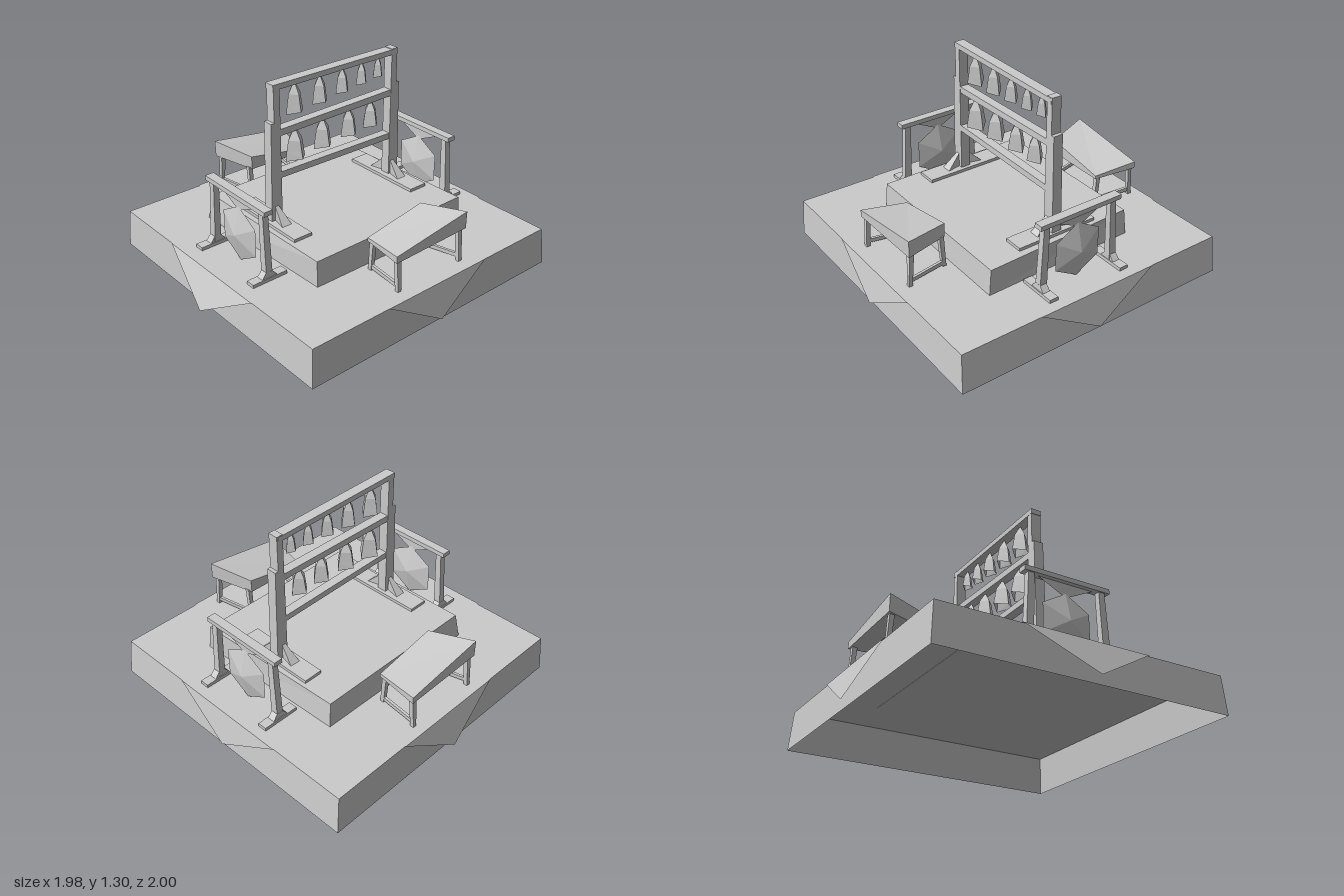
import * as THREE from 'three';
import { ConvexGeometry } from 'three/addons/geometries/ConvexGeometry.js';

const grey = new THREE.MeshStandardMaterial({ color: 0xcccccc, flatShading: true, side: THREE.DoubleSide });

function add(parent, name, geometry) {
  geometry.computeVertexNormals();
  const mesh = new THREE.Mesh(geometry, grey);
  mesh.name = name;
  parent.add(mesh);
  return mesh;
}

// Move each corner of a unit box by a rule that receives the signs of that corner.
function shapedBox(rule) {
  const g = new THREE.BoxGeometry(1, 1, 1);
  const p = g.attributes.position;
  for (let i = 0; i < p.count; i++) {
    p.setXYZ(i, ...rule([Math.sign(p.getX(i)), Math.sign(p.getY(i)), Math.sign(p.getZ(i))]));
  }
  return g;
}

// Bar from a to b along one axis; sizes are the full widths across it at each end.
function bar(a, b, axis, sizeA, sizeB = sizeA) {
  const across = [0, 1, 2].filter((k) => k !== axis);
  return shapedBox((s) => {
    const far = s[axis] > 0;
    const out = [...(far ? b : a)];
    across.forEach((k, i) => { out[k] += s[k] * (far ? sizeB : sizeA)[i] / 2; });
    return out;
  });
}

// Block from eight corners: x fastest, then y, then z.
const block = (corners) => shapedBox((s) => corners[(s[0] > 0) + 2 * (s[1] > 0) + 4 * (s[2] > 0)]);

// Flat polygon as a triangle fan.
function sheet(points) {
  const g = new THREE.BufferGeometry().setFromPoints(points.map((p) => new THREE.Vector3(...p)));
  const index = [];
  for (let i = 1; i < points.length - 1; i++) index.push(0, i, i + 1);
  g.setIndex(index);
  return g;
}

// Four-sided bell, open below, with arched lips on two corners.
function bell(parent, z, top, bottom, radius) {
  const h = top - bottom;
  const profile = [[1, 0], [0.88, 0.3], [0.7, 0.65], [0.1, 1]]
    .map(([r, y]) => new THREE.Vector2(r * radius, y * h));
  const g = new THREE.LatheGeometry(profile, 4);
  const p = g.attributes.position;
  for (let i = 0; i < p.count; i++) {
    if (p.getY(i) < 0.001 && Math.abs(p.getX(i)) > radius / 2) p.setY(i, 0.1 * h);
  }
  add(parent, 'bell', g).position.set(0, bottom, z);
}

function bellRack() {
  const rack = new THREE.Group();
  rack.name = 'bellRack';
  for (const [z, out, foot] of [[0.412, 1, 0.43], [-0.505, -1, -0.51]]) {
    add(rack, 'rackPost', bar([0, 0.42, z], [0, 1.3, z], 1, [0.065, 0.045]));
    const zo = z + out * 0.03;
    add(rack, 'outerPost', bar([0, 0.42, zo + out * 0.01], [0, 1.07, zo], 1, [0.065, 0.035], [0.065, 0.03]));
    add(rack, 'footPlate', bar([0, 0.412, foot], [0, 0.435, foot], 1, [0.56, 0.13]));
    // Spreading braces between plate and post
    for (const s of [-1, 1]) {
      const pts = [];
      for (const w of [-1, 1]) {
        pts.push([s * 0.13, 0.432, foot + w * 0.035], [s * 0.02, 0.432, foot + w * 0.01],
          [s * 0.02, 0.54, foot + w * 0.01]);
      }
      add(rack, 'postBrace', new ConvexGeometry(pts.map((q) => new THREE.Vector3(...q))));
    }
  }
  add(rack, 'topBeam', bar([0, 1.278, -0.52], [0, 1.288, 0.438], 2, [0.068, 0.034]));
  add(rack, 'middleBeam', bar([0, 1.008, -0.5], [0, 0.997, 0.41], 2, [0.06, 0.042]));
  add(rack, 'lowerBeam', bar([0, 0.708, -0.5], [0, 0.724, 0.41], 2, [0.06, 0.04]));
  // Upper and lower rows: z, top, bottom, radius
  for (const row of [
    [0.26, 1.27, 1.08, 0.062], [0.07, 1.265, 1.09, 0.056], [-0.105, 1.262, 1.108, 0.05],
    [-0.26, 1.26, 1.12, 0.043], [-0.395, 1.26, 1.132, 0.038],
    [0.26, 0.98, 0.78, 0.073], [0.05, 0.985, 0.795, 0.068],
    [-0.16, 0.985, 0.808, 0.063], [-0.34, 0.987, 0.815, 0.06],
  ]) bell(rack, ...row);
  return rack;
}

// Hanging six-sided gong in a two-legged frame.
function gongStand(z) {
  const stand = new THREE.Group();
  stand.name = 'gongStand';
  stand.position.z = z;
  add(stand, 'frameBeam', bar([-0.275, 0.696, 0], [0.305, 0.696, 0], 0, [0.03, 0.058]));
  for (const [bottom, top] of [[-0.245, -0.225], [0.275, 0.255]]) {
    add(stand, 'frameLeg', bar([bottom, 0.25, 0], [top, 0.685, 0], 1, [0.05, 0.045], [0.04, 0.038]));
    add(stand, 'frameFoot', bar([bottom, 0.262, -0.122], [bottom, 0.262, 0.122], 2, [0.06, 0.022]));
    add(stand, 'footBrace', bar([bottom, 0.27, 0], [bottom, 0.31, 0], 1, [0.05, 0.11], [0.045, 0.045]));
  }
  add(stand, 'hanger', sheet([[-0.18, 0.685, 0], [0.015, 0.59, 0], [0.21, 0.685, 0]]));
  const profile = [[0, -0.042], [0.182, 0], [0, 0.042]].map((p) => new THREE.Vector2(...p));
  const gong = add(stand, 'gong', new THREE.LatheGeometry(profile, 6));
  gong.rotation.x = Math.PI / 2;
  gong.position.set(0.015, 0.435, 0);
  return stand;
}

// Sloping-topped table, wider on its outer side.
function slopedTable() {
  const table = new THREE.Group();
  table.name = 'slopedTable';
  add(table, 'tableTop', block([
    [0.57, 0.45, -0.235], [0.862, 0.465, -0.322], [0.57, 0.54, -0.237], [0.862, 0.575, -0.325],
    [0.57, 0.442, 0.188], [0.862, 0.45, 0.235], [0.57, 0.465, 0.188], [0.862, 0.495, 0.235],
  ]));
  for (const [inner, outer] of [[-0.235, -0.29], [0.17, 0.205]]) {
    add(table, 'innerLeg', bar([0.585, 0.25, inner], [0.6, 0.46, inner], 1, [0.025, 0.025], [0.03, 0.03]));
    add(table, 'outerLeg', bar([0.85, 0.25, outer], [0.835, 0.46, outer], 1, [0.025, 0.025], [0.03, 0.03]));
    add(table, 'stretcher', bar([0.585, 0.275, inner], [0.845, 0.285, outer], 0, [0.025, 0.018]));
  }
  return table;
}

export function createModel() {
  const model = new THREE.Group();
  model.name = 'bellStage';

  // Lower platform, hollow underneath
  const base = bar([0.008, 0, -0.03], [0.008, 0.247, -0.025], 1, [1.895, 1.9], [1.865, 1.86]);
  const index = Array.from(base.index.array);
  index.splice(18, 6);
  base.setIndex(index);
  add(model, 'lowerPlatform', base);

  // Cloth laid cornerwise, its four points hanging over the edges
  const y = 0.25;
  const rim = [[-0.41, y, 0.91], [0.41, y, 0.91], [0.945, y, 0.36], [0.945, y, -0.42],
    [0.41, y, -0.96], [-0.41, y, -0.96], [-0.93, y, -0.42], [-0.93, y, 0.36]];
  const tips = [[0.01, 0.02, 1], [0.985, 0.02, -0.03], [0.01, 0.02, -1], [-0.99, 0.02, -0.03]];
  add(model, 'cloth', sheet(rim));
  tips.forEach((tip, i) => add(model, 'clothPoint', sheet([rim[2 * i], tip, rim[2 * i + 1]])));

  // Upper platform, slightly skewed
  add(model, 'upperPlatform', block([
    [-0.515, 0.245, -0.61], [0.535, 0.245, -0.635], [-0.505, 0.415, -0.595], [0.52, 0.415, -0.63],
    [-0.525, 0.245, 0.56], [0.53, 0.245, 0.53], [-0.505, 0.415, 0.535], [0.52, 0.415, 0.525],
  ]));

  model.add(bellRack(), gongStand(0.695), gongStand(-0.77));

  const rightTable = slopedTable();
  const leftTable = slopedTable();
  leftTable.rotation.y = Math.PI;
  leftTable.position.z = -0.06;
  model.add(rightTable, leftTable);
  return model;
}
